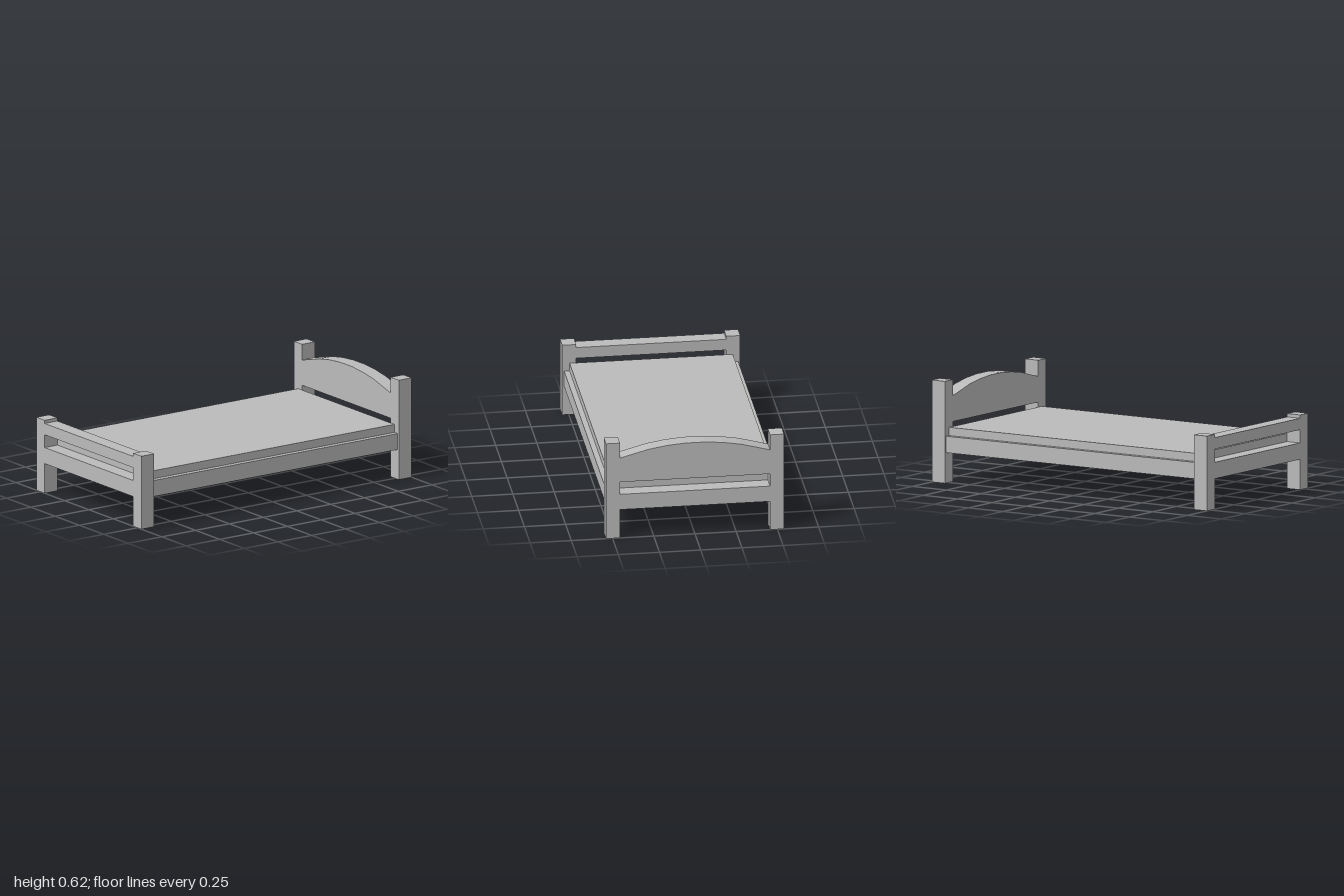
import * as THREE from 'three';

const POST_OUT = 0.54, POST_IN = 0.455, DEPTH = 0.095;
const RAIL_LOW = 0.185, RAIL_TOP = 0.285, PANEL_LOW = 0.365;

// Posts, lower rail and upper panel cut from one board with a slot through it
function endBoard(name, postHeight, topEdge, z, material) {
  const shape = new THREE.Shape([
    [-POST_OUT, 0], [-POST_IN, 0], [-POST_IN, RAIL_LOW], [POST_IN, RAIL_LOW],
    [POST_IN, 0], [POST_OUT, 0], [POST_OUT, postHeight], [POST_IN, postHeight],
    ...topEdge,
    [-POST_IN, postHeight], [-POST_OUT, postHeight],
  ].map(([x, y]) => new THREE.Vector2(x, y)));
  shape.holes.push(new THREE.Path([
    [-POST_IN, RAIL_TOP], [-POST_IN, PANEL_LOW], [POST_IN, PANEL_LOW], [POST_IN, RAIL_TOP],
  ].map(([x, y]) => new THREE.Vector2(x, y))));
  const solid = new THREE.ExtrudeGeometry(shape, { depth: DEPTH, bevelEnabled: false });

  // Leave the feet open underneath
  const p = solid.attributes.position, kept = [];
  for (let i = 0; i < p.count; i += 3) {
    if (Math.max(p.getY(i), p.getY(i + 1), p.getY(i + 2)) < 1e-6) continue;
    for (let k = i; k < i + 3; k++) kept.push(p.getX(k), p.getY(k), p.getZ(k));
  }
  const geometry = new THREE.BufferGeometry();
  geometry.setAttribute('position', new THREE.Float32BufferAttribute(kept, 3));
  geometry.computeVertexNormals();

  const mesh = new THREE.Mesh(geometry, material);
  mesh.name = name;
  mesh.position.z = z;
  return mesh;
}

function slab(name, width, low, high, material) {
  const length = 2 - 2 * DEPTH;
  const mesh = new THREE.Mesh(new THREE.BoxGeometry(width, high - low, length), material);
  mesh.name = name;
  mesh.position.y = (low + high) / 2;
  return mesh;
}

export function createModel() {
  const grey = new THREE.MeshStandardMaterial({ color: 0xbbbbbb, side: THREE.DoubleSide });
  grey.name = 'plain grey';

  // Arched top of the headboard, running from right to left
  const arch = [POST_IN, 0.28, 0.17, 0.06, -0.06, -0.17, -0.28, -POST_IN]
    .map((x) => [x, 0.598 - 0.076 * (x / POST_IN) ** 2]);

  const bed = new THREE.Group();
  bed.name = 'bed';
  bed.add(
    endBoard('headboard', 0.62, arch, -1, grey),
    endBoard('footboard', 0.455, [[POST_IN, 0.435], [-POST_IN, 0.435]], 1 - DEPTH, grey),
    slab('bedBase', 1.056, RAIL_LOW, RAIL_TOP, grey),
    slab('mattress', 0.99, RAIL_TOP, 0.335, grey),
  );
  return bed;
}
